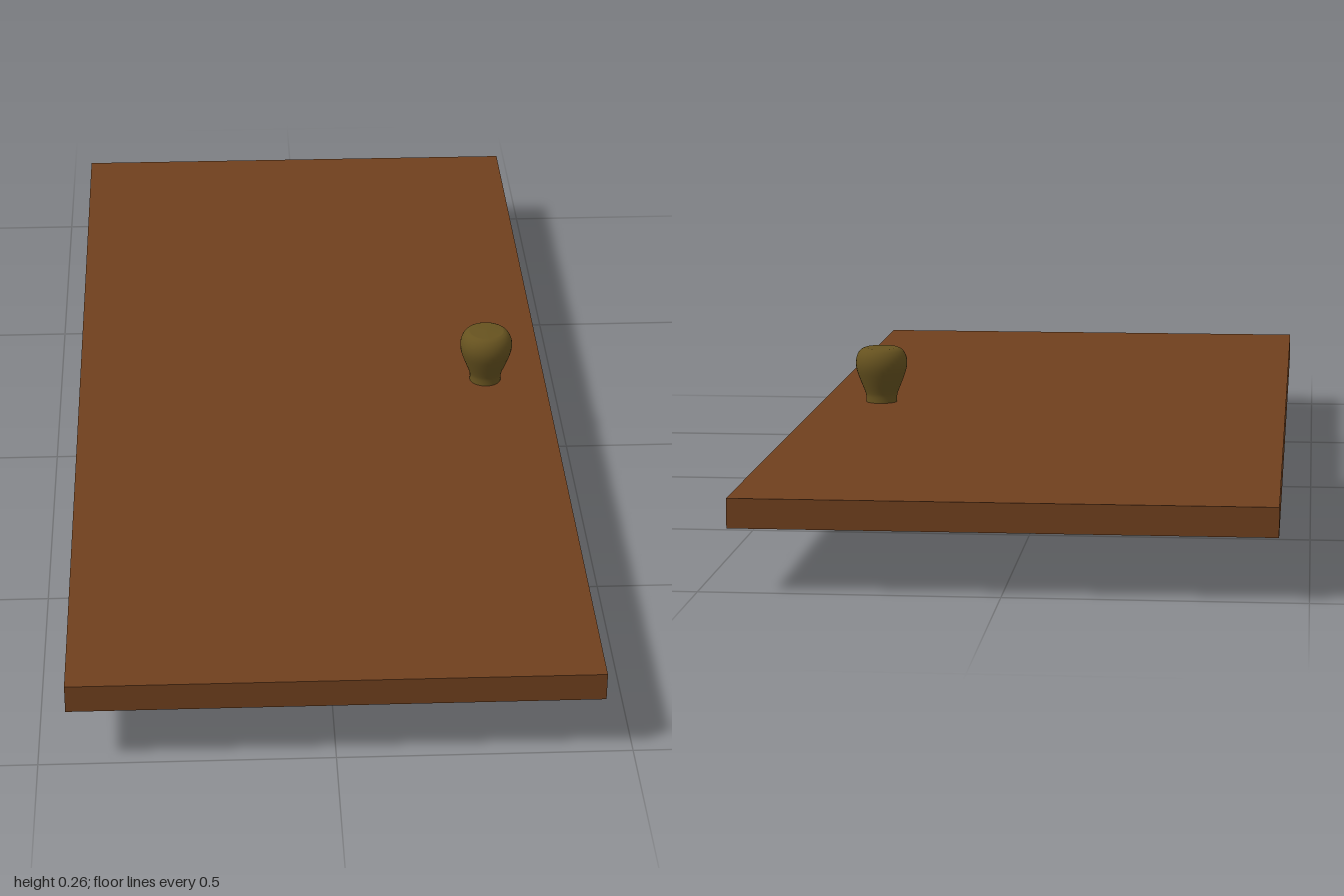
import * as THREE from 'three';

export function createModel() {
  const door = new THREE.Group();
  door.name = 'door';
  const midY = 0.132;

  // Flat door slab lying on its knob
  const wood = new THREE.MeshStandardMaterial({ color: 0x70401e });
  const panel = new THREE.Mesh(new THREE.BoxGeometry(0.9, 0.05, 2), wood);
  panel.name = 'panel';
  panel.position.y = midY;
  door.add(panel);

  // Knob profile: radius, height above the slab's mid plane
  const brass = new THREE.MeshStandardMaterial({ color: 0x66521f });
  const curve = new THREE.SplineCurve([
    [0.03, 0.02], [0.03, 0.036], [0.033, 0.047], [0.041, 0.067],
    [0.048, 0.087], [0.05, 0.103], [0.047, 0.117], [0.04, 0.127], [0.032, 0.131],
  ].map(([r, y]) => new THREE.Vector2(r, y)));
  const profile = [...curve.getPoints(24), new THREE.Vector2(0, 0.132)];
  const knobGeometry = new THREE.LatheGeometry(profile, 32);

  // One knob on each face
  for (const [name, turn] of [['upperKnob', 0], ['lowerKnob', Math.PI]]) {
    const knob = new THREE.Mesh(knobGeometry, brass);
    knob.name = name;
    knob.position.set(0.335, midY, 0);
    knob.rotation.x = turn;
    door.add(knob);
  }
  return door;
}
